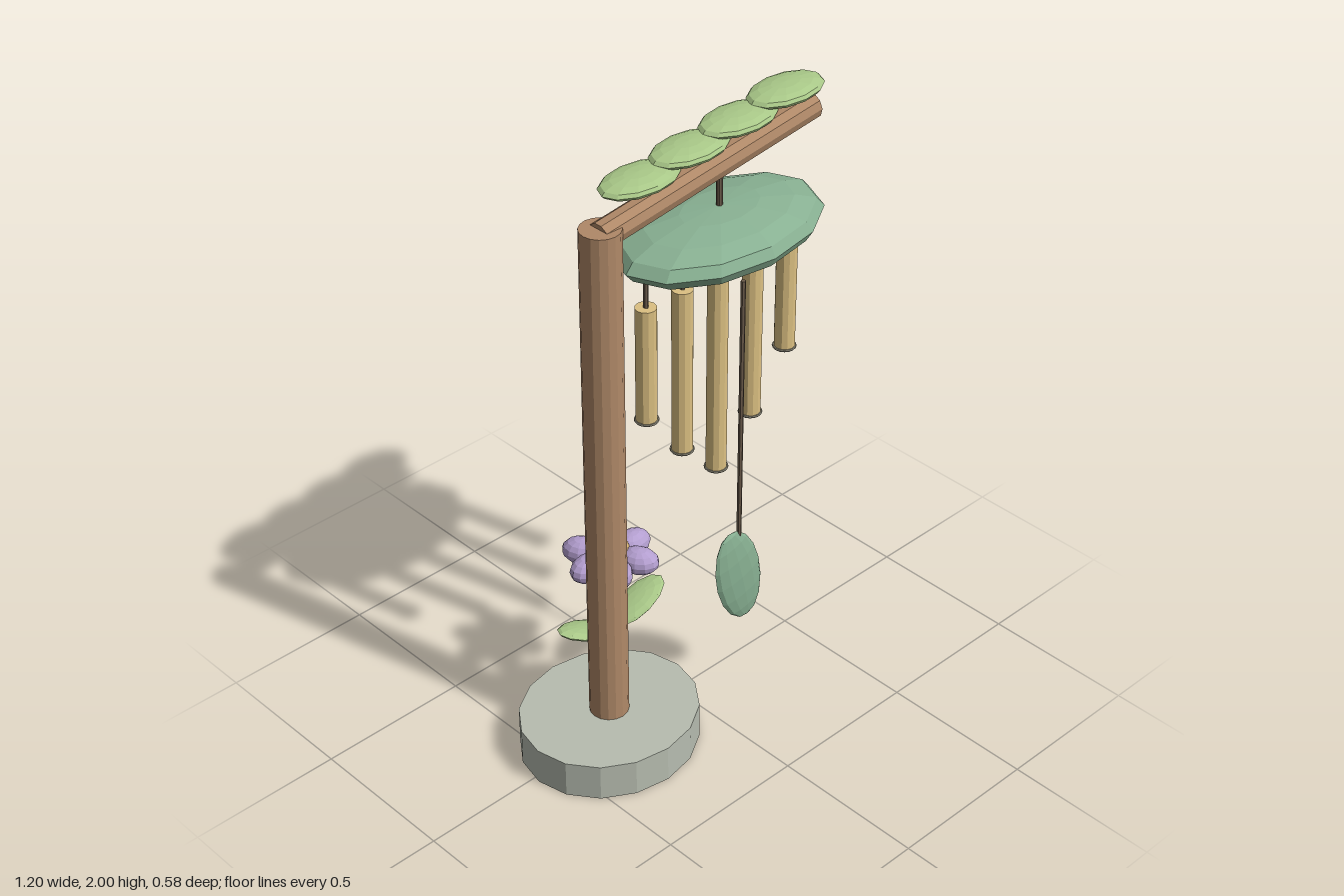
import * as THREE from 'three';

const paint = (color) => new THREE.MeshStandardMaterial({ color, flatShading: true });
const wood = paint(0xb08968);
const stone = paint(0xb7bdb0);
const sage = paint(0x88b092);
const leafGreen = paint(0xa9c888);
const brass = paint(0xdcc082);
const cord = paint(0x6b5b4b);
const purple = paint(0xb49fd0);
const gold = paint(0xdcb878);
const ringGrey = paint(0x8c8878);

export function createModel() {
  const model = new THREE.Group();
  const Z = 0.022; // plane of the post, beam and chimes

  function add(name, geometry, material, x, y, z, parent = model) {
    const mesh = new THREE.Mesh(geometry, material);
    mesh.name = name;
    mesh.position.set(x, y, z);
    parent.add(mesh);
    return mesh;
  }
  // Faceted ellipsoid given by its three half-sizes
  function blob(name, material, pos, radii, parent = model, around = 12, rings = 8) {
    const geometry = new THREE.SphereGeometry(1, around, rings).scale(...radii);
    return add(name, geometry, material, ...pos, parent);
  }
  // Upright rod between two heights
  function rod(name, material, x, z, y0, y1, r, sides, parent = model) {
    const geometry = new THREE.CylinderGeometry(r, r, y1 - y0, sides);
    return add(name, geometry, material, x, (y0 + y1) / 2, z, parent);
  }

  // Stand
  const base = rod('base', stone, -0.307, Z, 0, 0.125, 1, 16);
  base.scale.set(0.295, 1, 0.265);
  rod('post', wood, -0.307, Z, 0.12, 1.84, 0.062, 16);
  const start = new THREE.Vector3(-0.31, 1.815, Z);
  const end = new THREE.Vector3(0.521, 1.92, Z);
  const along = end.clone().sub(start);
  const mid = start.clone().add(end).multiplyScalar(0.5);
  const beam = add('beam', new THREE.CylinderGeometry(0.043, 0.043, along.length(), 10), wood, mid.x, mid.y, mid.z);
  beam.quaternion.setFromUnitVectors(new THREE.Vector3(0, 1, 0), along.normalize());

  // Leaves lying along the beam
  for (let i = 0; i < 4; i++) {
    blob('beamLeaf', leafGreen, [-0.117 + i * 0.192, 1.9 + i * 0.0237, -0.025], [0.14, 0.027, 0.083]);
  }

  // Canopy hanging from the beam
  rod('canopyCord', cord, 0.15, Z, 1.7, 1.86, 0.01, 8);
  blob('canopy', sage, [0.152, 1.652, Z], [0.367, 0.083, 0.225]);

  // Chime tubes with a ring at the lower end
  [1.13, 0.955, 0.82, 0.955, 1.13].forEach((bottom, i) => {
    const chime = new THREE.Group();
    chime.name = 'chime';
    model.add(chime);
    const x = 0.148 + (i - 2) * 0.1435;
    rod('chimeCord', cord, x, Z, 1.5, 1.62, 0.008, 6, chime);
    rod('chimeTube', brass, x, Z, bottom, 1.515, 0.033, 12, chime);
    const ring = add('chimeRing', new THREE.TorusGeometry(0.034, 0.004, 6, 16), ringGrey, x, bottom, Z, chime);
    ring.rotation.x = Math.PI / 2;
  });

  // Wind sail on its long cord
  rod('sailCord', cord, 0.15, 0.123, 0.61, 1.525, 0.008, 6);
  blob('windSail', sage, [0.15, 0.455, 0.123], [0.092, 0.184, 0.02]).rotation.z = 0.25;

  // Flower behind the post
  const flower = new THREE.Group();
  flower.name = 'flower';
  flower.position.set(-0.138, 0, -0.148);
  model.add(flower);
  rod('stem', sage, 0, 0, 0.38, 0.53, 0.016, 8, flower);
  blob('flowerCentre', gold, [0, 0.558, 0], [0.06, 0.047, 0.06], flower);
  for (let i = 0; i < 6; i++) {
    const a = (i * Math.PI) / 3;
    const pos = [0.092 * Math.cos(a), 0.533, -0.092 * Math.sin(a)];
    blob('petal', purple, pos, [0.065, 0.044, 0.048], flower).rotation.y = a;
  }
  for (const side of [-1, 1]) {
    const leaf = blob('flowerLeaf', leafGreen, [side * 0.108, 0.295, 0], [0.115, 0.018, 0.06], flower);
    leaf.rotation.z = side * 0.38;
  }
  return model;
}
